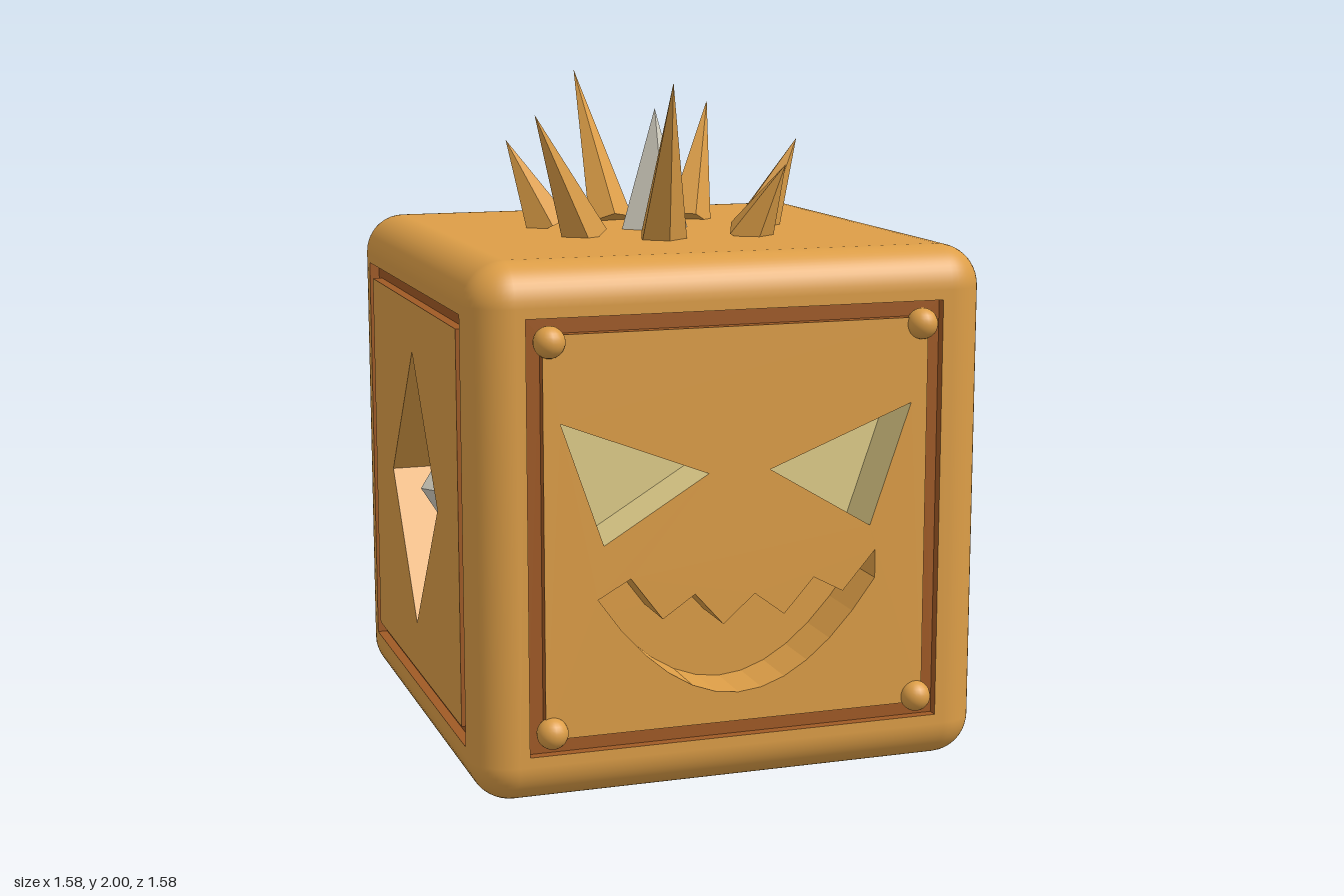
import * as THREE from 'three';
import { RoundedBoxGeometry } from 'three/addons/geometries/RoundedBoxGeometry.js';

const HALF = 0.767, RADIUS = 0.12, CENTRE = -0.023;
const DEPTH = 0.17, GROOVE = 0.03;
const FLAT = HALF - RADIUS, OUTER = 0.618, INNER = 0.572;

const material = (name, color) => {
  const m = new THREE.MeshStandardMaterial({ color });
  m.name = name;
  return m;
};

const vectors = list => list.map(([x, y]) => new THREE.Vector2(x, y));
const square = s => vectors([[-s, -s], [s, -s], [s, s], [-s, s]]);

// Points in counter-clockwise order
const ccw = points => (THREE.ShapeUtils.isClockWise(points) ? points.slice().reverse() : points);

// Flat sheet with holes, facing +z
function sheet(points, holes, z) {
  const shape = new THREE.Shape(points);
  shape.holes = holes.map(h => new THREE.Path(h));
  return new THREE.ShapeGeometry(shape).translate(0, 0, z);
}

// Side walls of a recess, facing to the left of the outline's direction
function walls(points, z, depth) {
  const pos = [];
  points.forEach((a, i) => {
    const b = points[(i + 1) % points.length], low = z - depth;
    pos.push(a.x, a.y, z, b.x, b.y, z, b.x, b.y, low);
    pos.push(a.x, a.y, z, b.x, b.y, low, a.x, a.y, low);
  });
  const g = new THREE.BufferGeometry();
  g.setAttribute('position', new THREE.Float32BufferAttribute(pos, 3));
  g.computeVertexNormals();
  return g;
}

// Rounded cube with the four flat sides left open for the carved panels
function openCube() {
  const source = new RoundedBoxGeometry(HALF * 2, HALF * 2, HALF * 2, 6, RADIUS);
  const p = source.attributes.position, n = source.attributes.normal;
  const pos = [], nor = [];
  for (let i = 0; i < p.count; i += 3) {
    const flat = get => [0, 1, 2].every(k => Math.abs(get(i + k)) > HALF - 1e-4);
    if (flat(j => p.getX(j)) || flat(j => p.getZ(j))) continue;
    for (let j = i; j < i + 3; j++) {
      pos.push(p.getX(j), p.getY(j), p.getZ(j));
      nor.push(n.getX(j), n.getY(j), n.getZ(j));
    }
  }
  const g = new THREE.BufferGeometry();
  g.setAttribute('position', new THREE.Float32BufferAttribute(pos, 3));
  g.setAttribute('normal', new THREE.Float32BufferAttribute(nor, 3));
  return g;
}

export function createModel() {
  const orange = material('orange', 0xdd9e47);
  const brown = material('dark brown', 0xa05a25);
  const yellow = material('pale yellow', 0xe0cd89);
  const silver = material('silver', 0xd8d4c5);

  const model = new THREE.Group();
  model.name = 'carvedCube';
  const add = (parent, name, geometry, mat) => {
    const mesh = new THREE.Mesh(geometry, mat);
    mesh.name = name;
    parent.add(mesh);
    return mesh;
  };

  const cube = new THREE.Group();
  cube.name = 'cube';
  cube.position.set(CENTRE, HALF, CENTRE);
  model.add(cube);
  add(cube, 'roundedBody', openCube(), orange);

  // Recess outlines, measured from the middle of a side
  const eye = side => ccw(vectors([[0.523, 0.325], [0.092, 0.158], [0.4, -0.027]]
    .map(([x, y]) => [x * side, y])));
  const teeth = [[-0.418, -0.18], [-0.322, -0.127], [-0.228, -0.252], [-0.132, -0.187],
    [-0.047, -0.282], [0.048, -0.2], [0.138, -0.268], [0.228, -0.167], [0.318, -0.215], [0.418, -0.1]];
  const lip = [];
  for (let i = 0; i < 12; i++) {
    const t = 1 - i / 6;
    lip.push([0.418 * t, -0.487 + 0.303 * t * t]);
  }
  const mouth = ccw(vectors([...teeth, ...lip]));
  const diamond = vectors([[0, -0.42], [0.31, 0], [0, 0.42], [-0.31, 0]]);

  const faceRecesses = [
    { name: 'eyeLeft', points: eye(1), mat: yellow },
    { name: 'eyeRight', points: eye(-1), mat: yellow },
    { name: 'mouth', points: mouth, mat: orange },
  ];
  const diamondRecesses = [{ name: 'diamond', points: diamond, mat: orange }];

  // One side: rim, groove, panel and its recesses
  function addSide(name, angle, recesses) {
    const side = new THREE.Group();
    side.name = name;
    side.rotation.y = angle;
    cube.add(side);
    add(side, 'rim', sheet(square(FLAT), [square(OUTER)], HALF), orange);
    add(side, 'grooveFloor', sheet(square(OUTER), [square(INNER)], HALF - GROOVE), brown);
    add(side, 'grooveOuterWall', walls(square(OUTER), HALF, GROOVE), brown);
    add(side, 'grooveInnerWall', walls(square(INNER).reverse(), HALF, GROOVE), brown);
    add(side, 'panel', sheet(square(INNER), recesses.map(r => r.points), HALF), orange);
    for (const { name: part, points, mat } of recesses) {
      add(side, part + 'Walls', walls(points, HALF, DEPTH), mat);
      add(side, part + 'Floor', sheet(points, [], HALF - DEPTH), mat);
    }
    return side;
  }

  // Two carved faces with round studs in the corners
  const stud = new THREE.SphereGeometry(0.045, 20, 14);
  [['frontFace', 0], ['leftFace', Math.PI / 2]].forEach(([name, angle]) => {
    const side = addSide(name, angle, faceRecesses);
    for (const x of [-1, 1]) for (const y of [-1, 1]) {
      add(side, 'stud', stud, orange).position.set(x * 0.553, y * 0.553, HALF);
    }
  });

  // Two sides with a gem set in a diamond
  const gem = new THREE.OctahedronGeometry(1).scale(0.12, 0.127, 0.08);
  [['backDiamond', Math.PI], ['rightDiamond', -Math.PI / 2]].forEach(([name, angle]) => {
    const side = addSide(name, angle, diamondRecesses);
    add(side, 'gem', gem, silver).position.z = HALF - 0.1;
  });

  // Crown of leaning spikes: base x, z, then tip x, y, z
  const top = HALF * 2;
  const flatCone = (radius, height, sides) => {
    const g = new THREE.ConeGeometry(radius, height, sides).toNonIndexed();
    g.translate(0, height / 2, 0);
    g.computeVertexNormals();
    return g;
  };
  const spikes = [
    [-0.085, -0.3, -0.135, 2, -0.52],
    [0.165, -0.26, 0.28, 1.9, -0.405],
    [0.31, -0.025, 0.44, 1.8, -0.02],
    [0.19, 0.235, 0.265, 1.75, 0.34],
    [-0.09, 0.25, -0.13, 2, 0.475],
    [-0.29, 0.105, -0.46, 1.9, 0.19],
    [-0.325, -0.17, -0.44, 1.8, -0.225],
  ];
  const up = new THREE.Vector3(0, 1, 0);
  for (const [bx, bz, tx, ty, tz] of spikes) {
    const base = new THREE.Vector3(bx, top - 0.005, bz);
    const lean = new THREE.Vector3(tx, ty, tz).sub(base);
    const spike = add(model, 'spike', flatCone(0.075, lean.length(), 5), orange);
    spike.position.copy(base);
    spike.quaternion.setFromUnitVectors(up, lean.normalize());
  }

  // Silver point in the middle of the crown
  add(model, 'centrePoint', flatCone(0.107, 1.9 - top + 0.005, 4), silver)
    .position.set(CENTRE, top - 0.005, CENTRE);

  return model;
}
